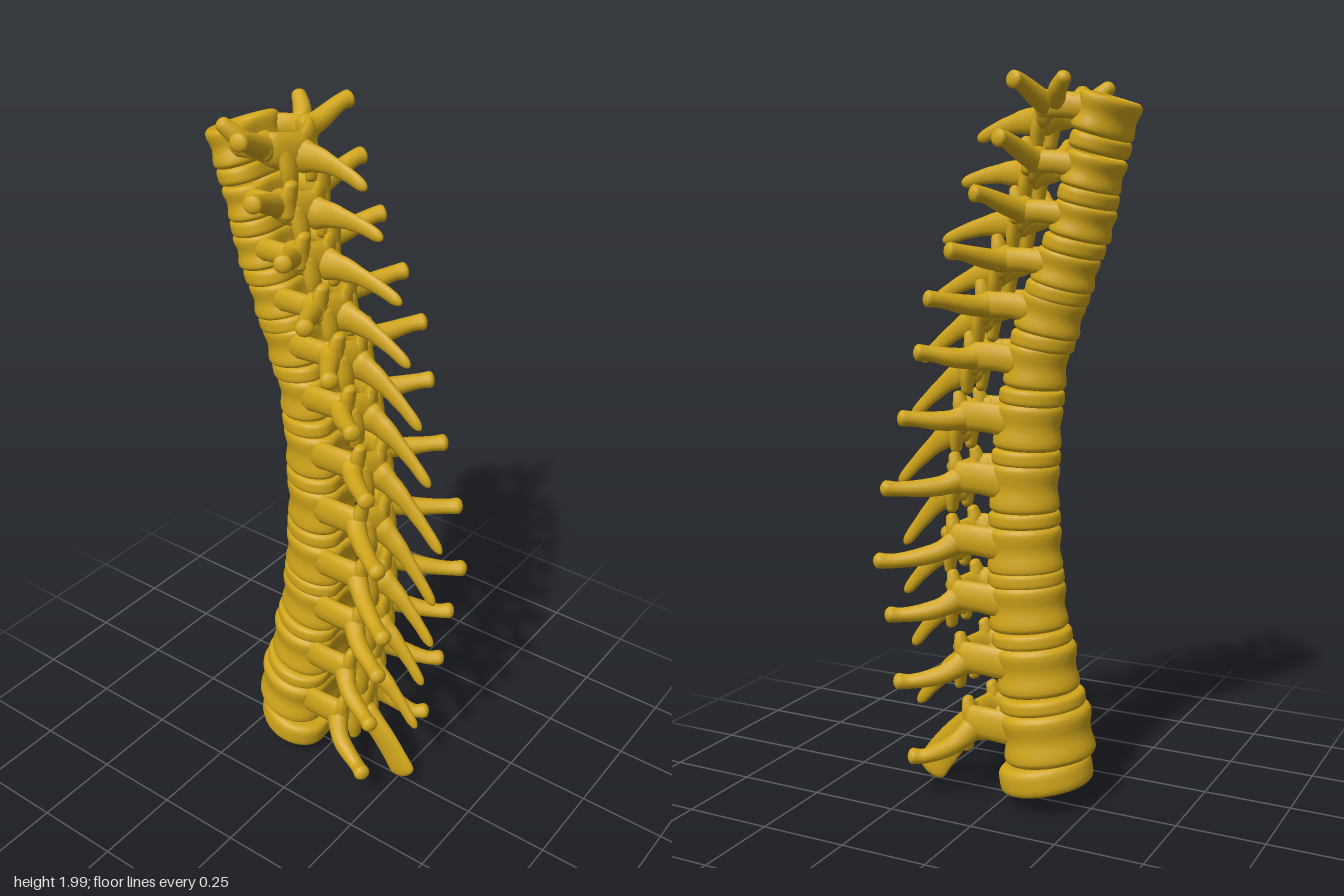
import * as THREE from 'three';
import { mergeVertices } from 'three/addons/utils/BufferGeometryUtils.js';

const bone = new THREE.MeshStandardMaterial({ color: 0xd0a51a });

// One row per vertebra, top to bottom:
// body: centre z, y, half depth, half width, height, tilt (degrees)
// side wing tip: x, y, z; rear spine tip: y, z
const rows = [
  [-.275, 1.895, .080, .115, .100, -18, .225, 1.975, -.11, 1.845, .10],
  [-.240, 1.755, .080, .100, .090, -16, .230, 1.835, -.07, 1.73, .15],
  [-.210, 1.630, .085, .095, .090, -15, .215, 1.700, .01, 1.575, .21],
  [-.160, 1.505, .090, .090, .095, -15, .223, 1.555, .08, 1.41, .24],
  [-.115, 1.385, .095, .087, .105, -14, .215, 1.430, .15, 1.24, .28],
  [-.075, 1.245, .090, .087, .115, -6, .185, 1.285, .20, 1.08, .315],
  [-.050, 1.080, .100, .088, .125, -3, .190, 1.105, .25, .885, .36],
  [-.040, .910, .103, .092, .135, 0, .203, .910, .30, .705, .345],
  [-.040, .735, .112, .096, .130, 3, .205, .705, .325, .56, .345],
  [-.050, .575, .118, .102, .130, 5, .190, .550, .30, .405, .32],
  [-.080, .400, .122, .115, .135, 6, .190, .360, .275, .23, .305],
  [-.115, .215, .133, .135, .145, 8, .175, .140, .24, .02, .275],
];

const Y = new THREE.Vector3(0, 1, 0), Z = new THREE.Vector3(0, 0, 1);

// Rounded limb with an elliptical section swept along a curve.
// radii: [across, along ref] for evenly spaced stations
function limb(name, pts, radii, ref = Y) {
  const steps = 20, sides = 12;
  const curve = new THREE.CatmullRomCurve3(pts.map(p => new THREE.Vector3(...p)));
  const pos = [], idx = [];
  for (let i = 0; i <= steps; i++) {
    const t = (1 - Math.cos(Math.PI * i / steps)) / 2;
    const c = curve.getPoint(t), tan = curve.getTangent(t);
    const side = tan.clone().cross(ref).normalize();
    const up = side.clone().cross(tan);
    const f = t * (radii.length - 1), k = Math.min(Math.floor(f), radii.length - 2);
    const u = THREE.MathUtils.smoothstep(f - k, 0, 1);
    const e = Math.max(0, 1 - Math.min(t, 1 - t) / .12);
    const cap = Math.max(.01, Math.sqrt(1 - e * e));
    const [a, b] = [0, 1].map(n => THREE.MathUtils.lerp(radii[k][n], radii[k + 1][n], u) * cap);
    for (let j = 0; j < sides; j++) {
      const q = j / sides * Math.PI * 2;
      const p = c.clone().addScaledVector(side, a * Math.cos(q)).addScaledVector(up, b * Math.sin(q));
      pos.push(p.x, p.y, p.z);
      if (i < steps) {
        const j2 = (j + 1) % sides, m = i * sides;
        idx.push(m + j, m + sides + j, m + j2, m + j2, m + sides + j, m + sides + j2);
      }
    }
  }
  const g = new THREE.BufferGeometry();
  g.setAttribute('position', new THREE.Float32BufferAttribute(pos, 3));
  g.setIndex(idx);
  g.computeVertexNormals();
  const mesh = new THREE.Mesh(g, bone);
  mesh.name = name;
  return mesh;
}

// Hollow kidney-shaped ring; waist sets the radius at mid height
function ring(name, z, y, d, w, h, tilt, waist) {
  const outline = [[.58, -.3], [.68, -.44], [.88, -.5], [.99, -.38], [waist, 0],
    [.99, .38], [.88, .5], [.68, .44], [.58, .3], [.56, 0]];
  const loop = new THREE.CatmullRomCurve3(outline.map(p => new THREE.Vector3(p[0], p[1], 0)), true);
  const lathe = new THREE.LatheGeometry(loop.getPoints(30).map(p => new THREE.Vector2(p.x, p.y)), 40);
  lathe.deleteAttribute('uv');
  lathe.deleteAttribute('normal');
  const g = mergeVertices(lathe, 1e-5);
  const p = g.attributes.position;
  for (let i = 0; i < p.count; i++) {
    const x = p.getX(i), zz = p.getZ(i);
    // flatten and slightly hollow the side facing the canal
    const k = zz > 0 ? 1 - .2 * zz * Math.exp(-4 * x * x) : 1;
    p.setXYZ(i, x * w * (1 + .08 * zz), p.getY(i) * h, zz * k * d);
  }
  g.computeVertexNormals();
  const mesh = new THREE.Mesh(g, bone);
  mesh.name = name;
  mesh.position.set(0, y, z);
  mesh.rotation.x = THREE.MathUtils.degToRad(tilt);
  return mesh;
}

function vertebra(row, i) {
  const [z, y, d, w, h, tilt, tx, ty, tz, sy, sz] = row;
  const g = new THREE.Group();
  g.name = `vertebra${i + 1}`;
  const rear = z + d, py = y + .025, px = Math.min(w * .8, .09);
  const archZ = rear + .095;
  g.add(ring('vertebralBody', z, y, d, w, h, tilt, .92));

  for (const s of [1, -1]) {
    g.add(limb('pedicle', [[s * px * .8, y + .015, z + d * .2], [s * px, py, rear], [s * px * .95, py, rear + .08]],
      [[.022, h * .36], [.02, h * .33], [.024, h * .33]]));
    g.add(limb('lamina', [[s * px, py + .005, rear + .03], [s * px * .75, py - .005, rear + .07], [-s * .012, y, archZ + .01]],
      [[.022, .035], [.02, .045], [.02, .05]]));
    g.add(limb('sideWing', [
      [s * px * .7, py, rear + .045],
      [s * (px + .03), (py + ty) / 2 - .012, THREE.MathUtils.lerp(rear + .045, tz, .3)],
      [s * tx * .86, ty - .004, THREE.MathUtils.lerp(rear + .045, tz, .78)],
      [s * tx, ty, tz]],
      [[.034, .042], [.026, .028], [.021, .021], [.025, .024]]));
    // upper and lower joints, with flared knobs on the top vertebra
    if (i === 0) {
      g.add(limb('upperJoint', [[s * px, py, rear + .02], [s * .125, 1.95, -.19], [s * .155, 1.99, -.228]],
        [[.025, .025], [.024, .024], [.019, .019]]));
    } else {
      g.add(limb('upperJoint', [[s * px * .85, y - .01, rear + .075], [s * px * .85, y + .05, rear + .075], [s * px * .8, y + .092, rear + .085]],
        [[.025, .02], [.027, .02], [.02, .014]], Z));
    }
    g.add(limb('lowerJoint', [[s * .045, y + .03, archZ - .015], [s * .046, y - .03, archZ], [s * .042, y - .085, archZ + .004]],
      [[.028, .018], [.028, .018], [.022, .014]], Z));
  }

  // rear spine, a short deep blade on the lowest vertebra
  const rootY = y - .005;
  const along = t => [0, THREE.MathUtils.lerp(rootY, sy, t) + .015 * Math.sin(Math.PI * t), THREE.MathUtils.lerp(archZ, sz, t)];
  g.add(limb('rearSpine', [[0, rootY, archZ - .012], along(.35), along(.7), [0, sy, sz]],
    i === rows.length - 1 ? [[.04, .05], [.018, .045], [.013, .048], [.014, .05]]
      : [[.042, .05], [.02, .034], [.014, .024], [.012, .019], [.012, .016]]));
  return g;
}

export function createModel() {
  const spine = new THREE.Group();
  spine.name = 'spine';
  // the last disc sits below the lowest vertebra, as if above another one
  const end = [-.105, -.02, .142, .145, .16, 12];
  rows.forEach((row, i) => {
    spine.add(vertebra(row, i));
    const next = rows[i + 1] || end;
    const mid = k => (row[k] + next[k]) / 2;
    const gap = row[1] - next[1] - mid(4);
    spine.add(ring(`disc${i + 1}`, mid(0), mid(1), mid(2) * .96, mid(3) * .97, Math.max(.045, gap * .95), mid(5), 1.02));
  });
  return spine;
}
